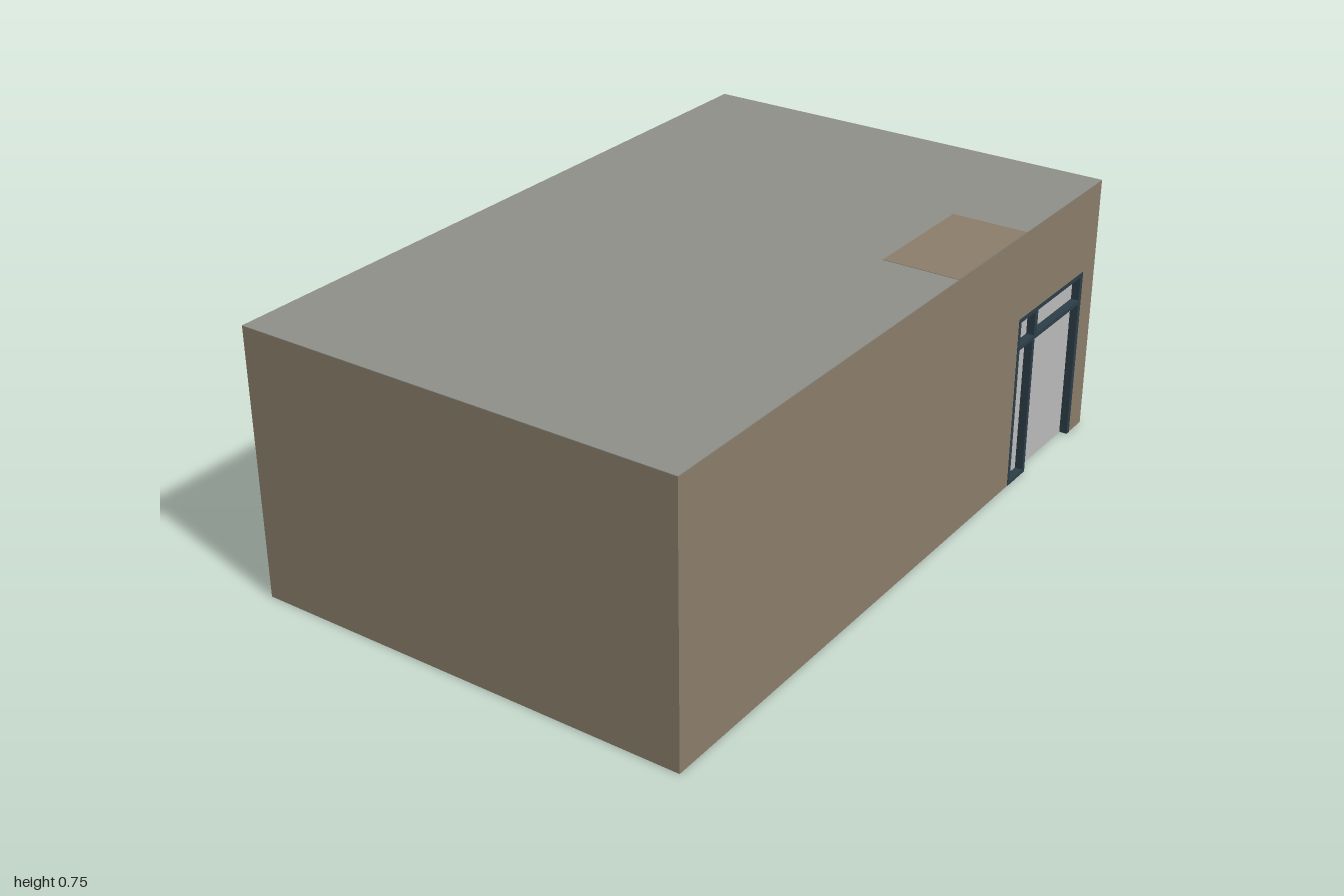
import * as THREE from 'three';

const material = (name, color) => {
  const m = new THREE.MeshStandardMaterial({ color });
  m.name = name;
  return m;
};

export function createModel() {
  const wall = material('brown wall', 0x8b7d6b);
  const roof = material('grey roof', 0x8f8f89);
  const frame = material('dark slate frame', 0x2c3e48);
  const doorGlass = material('door glass', 0xbababa);
  const windowGlass = material('window glass', 0xb2b0d4);

  const model = new THREE.Group();
  model.name = 'building';

  // Box given by its lower and upper limits on each axis
  const box = (parent, name, mat, [x0, x1], [y0, y1], [z0, z1]) => {
    const mesh = new THREE.Mesh(new THREE.BoxGeometry(x1 - x0, y1 - y0, z1 - z0), mat);
    mesh.position.set((x0 + x1) / 2, (y0 + y1) / 2, (z0 + z1) / 2);
    mesh.name = name;
    parent.add(mesh);
  };

  // Main body, and a wall layer with the door notch cut out
  box(model, 'body', wall, [-0.62, 0.605], [0, 0.748], [-1, 1]);
  const outline = new THREE.Shape([
    [-1, 0], [0.545, 0], [0.545, 0.5], [0.925, 0.5], [0.925, 0], [1, 0], [1, 0.748], [-1, 0.748],
  ].map(([s, y]) => new THREE.Vector2(s, y)));
  const doorWall = new THREE.Mesh(
    new THREE.ExtrudeGeometry(outline, { depth: 0.025, bevelEnabled: false }).rotateY(Math.PI / 2), wall);
  doorWall.position.x = 0.605;
  doorWall.name = 'doorWall';
  model.add(doorWall);

  // Flat roof with its brown patch
  box(model, 'roof', roof, [-0.62, 0.63], [0.748, 0.75], [-1, 1]);
  box(model, 'roofPatch', wall, [0.415, 0.63], [0.75, 0.751], [-0.55, -0.185]);

  // Recessed glass door with sidelight and transom
  const door = new THREE.Group();
  door.name = 'door';
  model.add(door);
  const deep = [0.605, 0.631];
  box(door, 'doorGlass', doorGlass, [0.605, 0.608], [0, 0.5], [-0.925, -0.545]);
  box(door, 'sidelightJamb', frame, deep, [0, 0.502], [-0.558, -0.545]);
  box(door, 'doorJamb', frame, deep, [0, 0.502], [-0.927, -0.912]);
  box(door, 'doorHead', frame, deep, [0.49, 0.502], [-0.912, -0.558]);
  box(door, 'doorTransom', frame, deep, [0.408, 0.42], [-0.912, -0.558]);
  box(door, 'doorMullion', frame, deep, [0, 0.408], [-0.646, -0.634]);
  box(door, 'transomMullion', frame, deep, [0.42, 0.49], [-0.656, -0.64]);
  box(door, 'sidelightSill', frame, deep, [0, 0.01], [-0.634, -0.558]);

  // Three six-pane windows along the opposite wall
  [-0.635, 0, 0.64].forEach((z, i) => {
    const win = new THREE.Group();
    win.name = 'window' + (i + 1);
    win.position.z = z;
    model.add(win);
    const out = [-0.635, -0.62];
    const h = 0.29, t = 0.025;
    box(win, 'windowGlass', windowGlass, [-0.624, -0.62], [0.13, 0.625], [-h + 0.01, h - 0.01]);
    for (const y of [0.125, 0.605]) box(win, 'rail', frame, out, [y, y + t], [-h, h]);
    for (const s of [-1, 1]) {
      const edge = s * (h - t / 2), bar = s * 0.145;
      box(win, 'stile', frame, out, [0.15, 0.605], [edge - t / 2, edge + t / 2]);
      box(win, 'mullion', frame, out, [0.15, 0.605], [bar - t / 2, bar + t / 2]);
    }
    for (const [a, b] of [[-0.265, -0.1575], [-0.1325, 0.1325], [0.1575, 0.265]])
      box(win, 'transom', frame, out, [0.445, 0.468], [a, b]);
  });

  return model;
}
